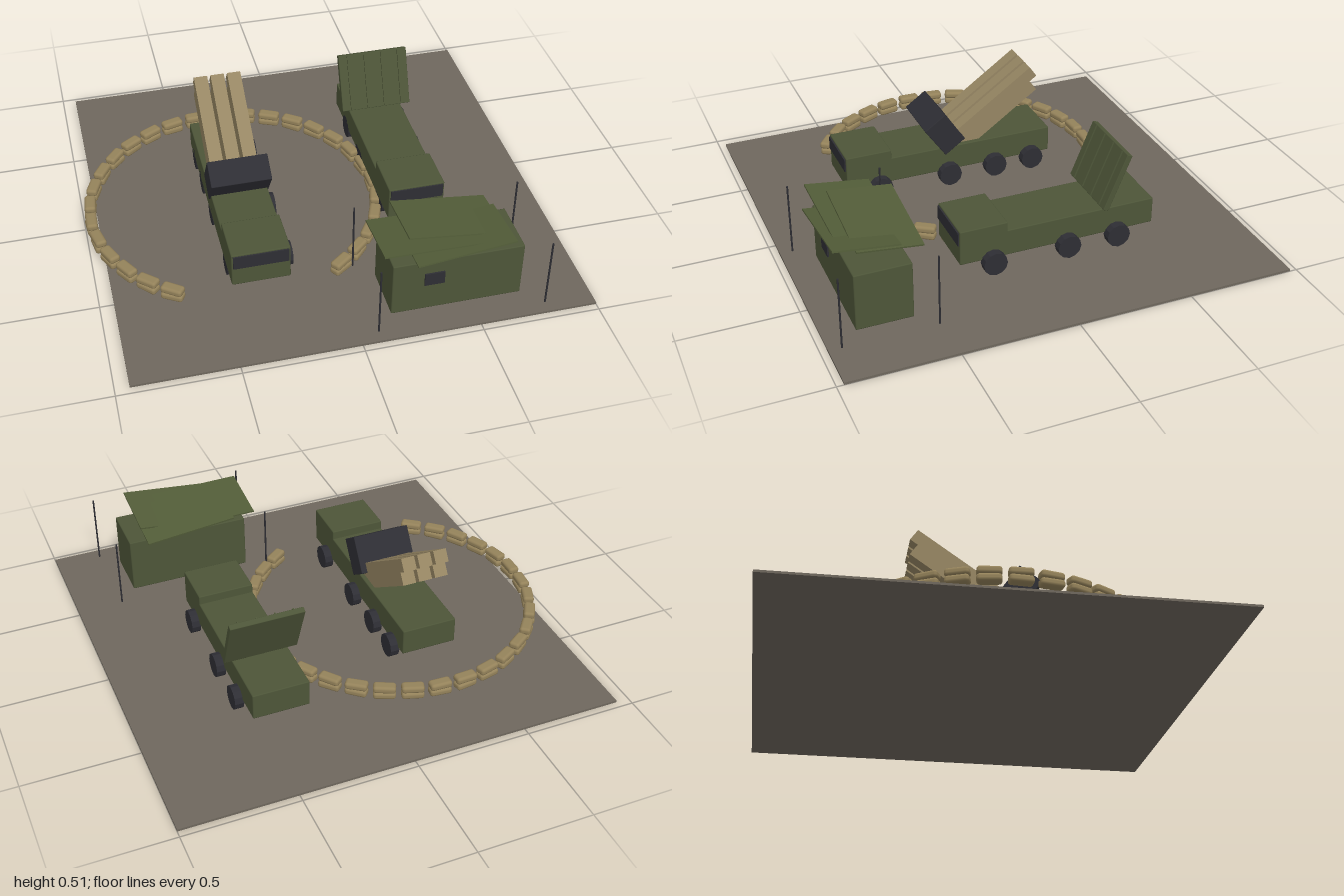
import * as THREE from 'three';
import { RoundedBoxGeometry } from 'three/addons/geometries/RoundedBoxGeometry.js';

const mat = (name, color) => {
  const m = new THREE.MeshStandardMaterial({ color });
  m.name = name;
  return m;
};

export function createModel() {
  const green = mat('olive paint', 0x4d5538);
  const netGreen = mat('net green', 0x525c38);
  const dark = mat('dark steel', 0x2e2e34);
  const tan = mat('canister tan', 0x968663);
  const sand = mat('sandbag cloth', 0x94825a);
  const earth = mat('ground', 0x6e675d);

  const model = new THREE.Group();
  model.name = 'airDefenceSite';

  const add = (parent, name, geo, material, x, y, z) => {
    const mesh = new THREE.Mesh(geo, material);
    mesh.name = name;
    mesh.position.set(x, y, z);
    parent.add(mesh);
    return mesh;
  };
  const box = (parent, name, w, h, d, material, x, y, z) =>
    add(parent, name, new THREE.BoxGeometry(w, h, d), material, x, y, z);
  const softBox = (parent, name, w, h, d, material, x, y, z, r = 0.005) =>
    add(parent, name, new RoundedBoxGeometry(w, h, d, 1, r), material, x, y, z);

  // Ground slab
  box(model, 'ground', 1.94, 0.01, 1.94, earth, 0.03, 0.005, 0);

  // Truck: chassis, raised cab, windscreen and wheels (left row flush, right row proud)
  const wheelGeo = new THREE.CylinderGeometry(0.053, 0.053, 0.04, 12).toNonIndexed();
  wheelGeo.rotateZ(Math.PI / 2);
  wheelGeo.computeVertexNormals();
  const truck = (name, x, zBack, zFront, wheelZs) => {
    const g = new THREE.Group();
    g.name = name;
    model.add(g);
    softBox(g, 'chassis', 0.25, 0.12, zFront - zBack, green, x, 0.133, (zBack + zFront) / 2);
    softBox(g, 'cab', 0.25, 0.16, 0.213, green, x, 0.153, zFront - 0.1065);
    box(g, 'windscreen', 0.235, 0.062, 0.008, dark, x, 0.195, zFront + 0.002);
    for (const z of wheelZs)
      for (const wx of [-0.105, 0.14]) add(g, 'wheel', wheelGeo, dark, x + wx, 0.063, z);
    return g;
  };

  // Launcher truck with six inclined canisters
  const launcher = truck('launcherTruck', -0.33, -0.41, 0.578, [-0.313, -0.13, 0.094, 0.425]);
  const tilt = 0.61;
  softBox(launcher, 'launcherHousing', 0.265, 0.17, 0.117, dark, -0.33, 0.26, 0.109, 0.003)
    .rotation.x = tilt;
  for (let row = 0; row < 2; row++)
    for (let col = -1; col <= 1; col++)
      box(launcher, 'canister', 0.06, 0.058, 0.48, tan, -0.33 + col * 0.075, 0.349 - row * 0.07, -0.137)
        .rotation.x = tilt;

  // Radar truck with ribbed antenna panel
  const radar = truck('radarTruck', 0.415, -0.56, 0.328, [-0.385, -0.155, 0.182]);
  const antenna = new THREE.Group();
  antenna.name = 'antenna';
  antenna.position.set(0.415, 0.33, -0.365);
  antenna.rotation.x = -0.39;
  radar.add(antenna);
  softBox(antenna, 'antennaPanel', 0.325, 0.265, 0.026, green, 0, 0, 0, 0.003);
  for (let i = -1.5; i <= 1.5; i++)
    box(antenna, 'antennaRib', 0.006, 0.255, 0.008, green, i * 0.08, 0, 0.016);

  // Command shelter with window
  softBox(model, 'shelter', 0.56, 0.256, 0.243, green, 0.435, 0.138, 0.712);
  box(model, 'shelterWindow', 0.085, 0.06, 0.009, dark, 0.333, 0.173, 0.836);

  // Overlapping camouflage nets: [x, y, z, pitch, roll]
  const nets = [
    [0.32, 0.319, 0.713, -0.13, -0.02],
    [0.438, 0.326, 0.653, -0.11, -0.11],
    [0.445, 0.312, 0.755, -0.12, 0.11],
  ];
  for (const [x, y, z, pitch, roll] of nets)
    box(model, 'camouflageNet', 0.415, 0.007, 0.28, netGreen, x, y, z).rotation.set(pitch, 0, roll);

  // Net poles
  const poleGeo = new THREE.CylinderGeometry(0.004, 0.004, 0.32, 6);
  for (const x of [0.08, 0.795])
    for (const z of [0.513, 0.915]) add(model, 'netPole', poleGeo, dark, x, 0.17, z);

  // Two-layer sandbag ring, open toward the front
  const bagGeo = new RoundedBoxGeometry(0.098, 0.033, 0.05, 2, 0.013);
  const ring = new THREE.Group();
  ring.name = 'sandbagRing';
  model.add(ring);
  const count = 28, gap = 0.602;
  for (let i = 0; i < count; i++) {
    const a = gap + (i / (count - 1)) * (2 * Math.PI - 2 * gap);
    for (let layer = 0; layer < 2; layer++) {
      const wobble = 0.06 * Math.sin(i * 2.4 + layer * 1.7);
      add(ring, 'sandbag', bagGeo, sand,
        -0.335 + 0.637 * Math.sin(a), 0.026 + layer * 0.031, 0.637 * Math.cos(a))
        .rotation.y = a + wobble;
    }
  }
  return model;
}
